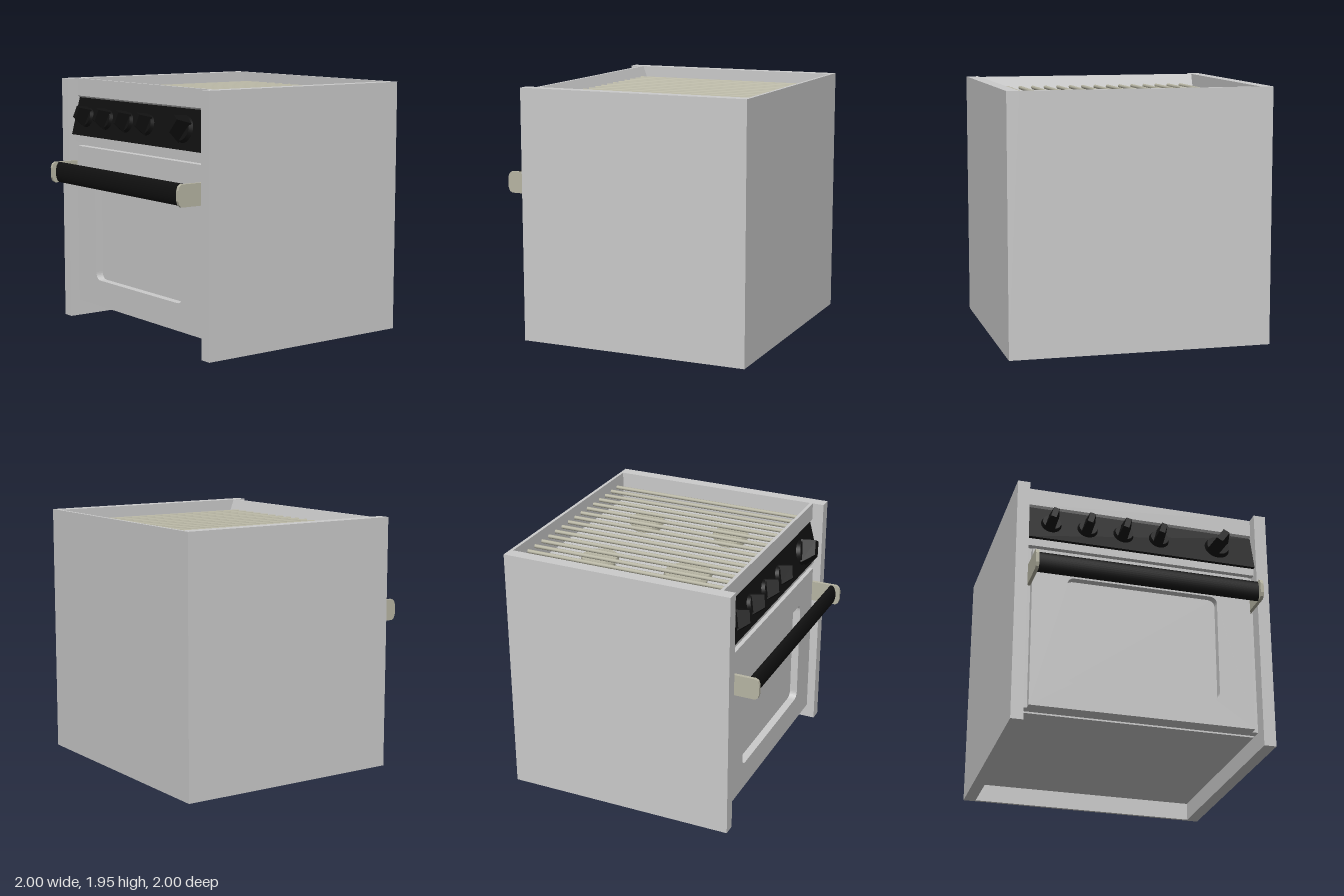
import * as THREE from 'three';

const grey = new THREE.MeshStandardMaterial({ color: 0xcccccc });
const black = new THREE.MeshStandardMaterial({ color: 0x111111 });
const steel = new THREE.MeshStandardMaterial({ color: 0xb8b6a4 });

function add(parent, name, geometry, material, x = 0, y = 0, z = 0) {
  const mesh = new THREE.Mesh(geometry, material);
  mesh.name = name;
  mesh.position.set(x, y, z);
  parent.add(mesh);
  return mesh;
}

// Box given by its limits on each axis
function block(parent, name, material, [x0, x1], [y0, y1], [z0, z1]) {
  const geometry = new THREE.BoxGeometry(x1 - x0, y1 - y0, z1 - z0);
  return add(parent, name, geometry, material, (x0 + x1) / 2, (y0 + y1) / 2, (z0 + z1) / 2);
}

// Side profile of [z, y] points, extruded across x and centred on x = 0
function across(points, width) {
  const shape = new THREE.Shape(points.map(([z, y]) => new THREE.Vector2(z, y)));
  return new THREE.ExtrudeGeometry(shape, { depth: width, bevelEnabled: false })
    .rotateY(-Math.PI / 2).translate(width / 2, 0, 0);
}

function roundedRect(path, x, y0, y1, r) {
  path.moveTo(-x + r, y0);
  path.lineTo(x - r, y0);
  path.quadraticCurveTo(x, y0, x, y0 + r);
  path.lineTo(x, y1 - r);
  path.quadraticCurveTo(x, y1, x - r, y1);
  path.lineTo(-x + r, y1);
  path.quadraticCurveTo(-x, y1, -x, y1 - r);
  path.lineTo(-x, y0 + r);
  path.quadraticCurveTo(-x, y0, -x + r, y0);
  return path;
}

function createKnob(scale, turn) {
  const knob = new THREE.Group();
  knob.name = 'knob';
  const skirt = new THREE.CylinderGeometry(0.07, 0.08, 0.03, 32).rotateX(Math.PI / 2);
  add(knob, 'knobSkirt', skirt, black, 0, 0, 0.015);
  // Grip: a ridge that narrows away from the panel
  const grip = across([[0.02, -0.075], [0.12, -0.03], [0.125, 0.065], [0.02, 0.075]], 0.08);
  const p = grip.attributes.position;
  for (let i = 0; i < p.count; i++) {
    if (p.getZ(i) > 0.1) p.setX(i, p.getX(i) * 0.55);
  }
  grip.computeVertexNormals();
  add(knob, 'knobGrip', grip, black);
  knob.scale.set(scale, scale, 0.6 + 0.4 * scale);
  knob.rotation.set(-0.265, 0, turn);
  return knob;
}

function createBurner(radius) {
  const burner = new THREE.Group();
  burner.name = 'burner';
  const lower = new THREE.CylinderGeometry(radius * 0.8, radius * 0.8, 0.05, 40);
  const cap = new THREE.CylinderGeometry(radius * 0.95, radius, 0.03, 40);
  add(burner, 'burnerBase', lower, steel, 0, 0.025, 0);
  add(burner, 'burnerCap', cap, steel, 0, 0.065, 0);
  return burner;
}

export function createModel() {
  const stove = new THREE.Group();
  stove.name = 'stove';
  const panY = 1.72;

  // Outer casing
  for (const side of [-1, 1]) {
    const x = side < 0 ? [-1, -0.905] : [0.905, 1];
    block(stove, 'sidePanel', grey, x, [0, 1.95], [-1, 0.81]);
  }
  block(stove, 'backPanel', grey, [-0.905, 0.905], [0, 1.95], [-1, -0.975]);

  // Body with cooktop pan, sloped front rim and leaning control face
  add(stove, 'body', across([
    [-0.975, 0.14], [0.6, 0.14], [0.6, 1.44], [0.75, 1.44], [0.75, 1.5], [0.7, 1.7],
    [0.7, 1.795], [0.72, 1.81], [0.72, 1.95], [0.695, 1.95], [0.61, panY], [-0.975, panY],
  ], 1.81), grey);

  // Control panel and knobs
  add(stove, 'controlPanel', across([
    [0.68, 1.5], [0.78, 1.5], [0.702, 1.797], [0.68, 1.797],
  ], 1.81), black);
  [-0.72, -0.435, -0.15, 0.135, 0.61].forEach((x, i) => {
    const big = i === 4;
    const knob = createKnob(big ? 1.25 : 1, big ? -0.6 : -0.3);
    knob.position.set(x, 1.645, 0.74);
    stove.add(knob);
  });

  // Oven door: backing plate and front frame with a window opening
  block(stove, 'doorBacking', grey, [-0.904, 0.904], [0.14, 1.44], [0.63, 0.7]);
  const frame = new THREE.Shape([
    new THREE.Vector2(-0.86, 0.14), new THREE.Vector2(0.86, 0.14),
    new THREE.Vector2(0.86, 1.41), new THREE.Vector2(-0.86, 1.41),
  ]);
  frame.holes.push(roundedRect(new THREE.Path(), 0.59, 0.35, 1.2, 0.06));
  add(stove, 'doorFrame',
    new THREE.ExtrudeGeometry(frame, { depth: 0.06, bevelEnabled: false, curveSegments: 8 }),
    grey, 0, 0, 0.7);

  // Door handle: oval bar between two end brackets
  const bar = new THREE.CylinderGeometry(1, 1, 1.72, 32).rotateZ(Math.PI / 2).scale(1, 0.082, 0.036);
  add(stove, 'handleBar', bar, black, 0, 1.207, 0.927);
  const bracket = across([
    [0.7, 1.125], [0.965, 1.125], [0.985, 1.14], [0.995, 1.17],
    [0.995, 1.245], [0.985, 1.275], [0.965, 1.29], [0.7, 1.29],
  ], 0.026);
  for (const side of [-1, 1]) add(stove, 'handleBracket', bracket, steel, side * 0.872, 0, 0);

  // Burners
  for (const [x, z, r] of [
    [-0.42, -0.51, 0.145], [0.405, -0.51, 0.145], [0.405, 0.22, 0.145], [-0.41, 0.22, 0.182],
  ]) {
    const burner = createBurner(r);
    burner.position.set(x, panY, z);
    stove.add(burner);
  }

  // Grate rods running front to back
  const rod = new THREE.CylinderGeometry(0.015, 0.015, 1.67, 12).rotateX(Math.PI / 2);
  for (let i = 0; i < 16; i++) {
    add(stove, 'grateRod', rod, steel, -0.797 + i * 0.1058, 1.86, -0.14);
  }

  return stove;
}
